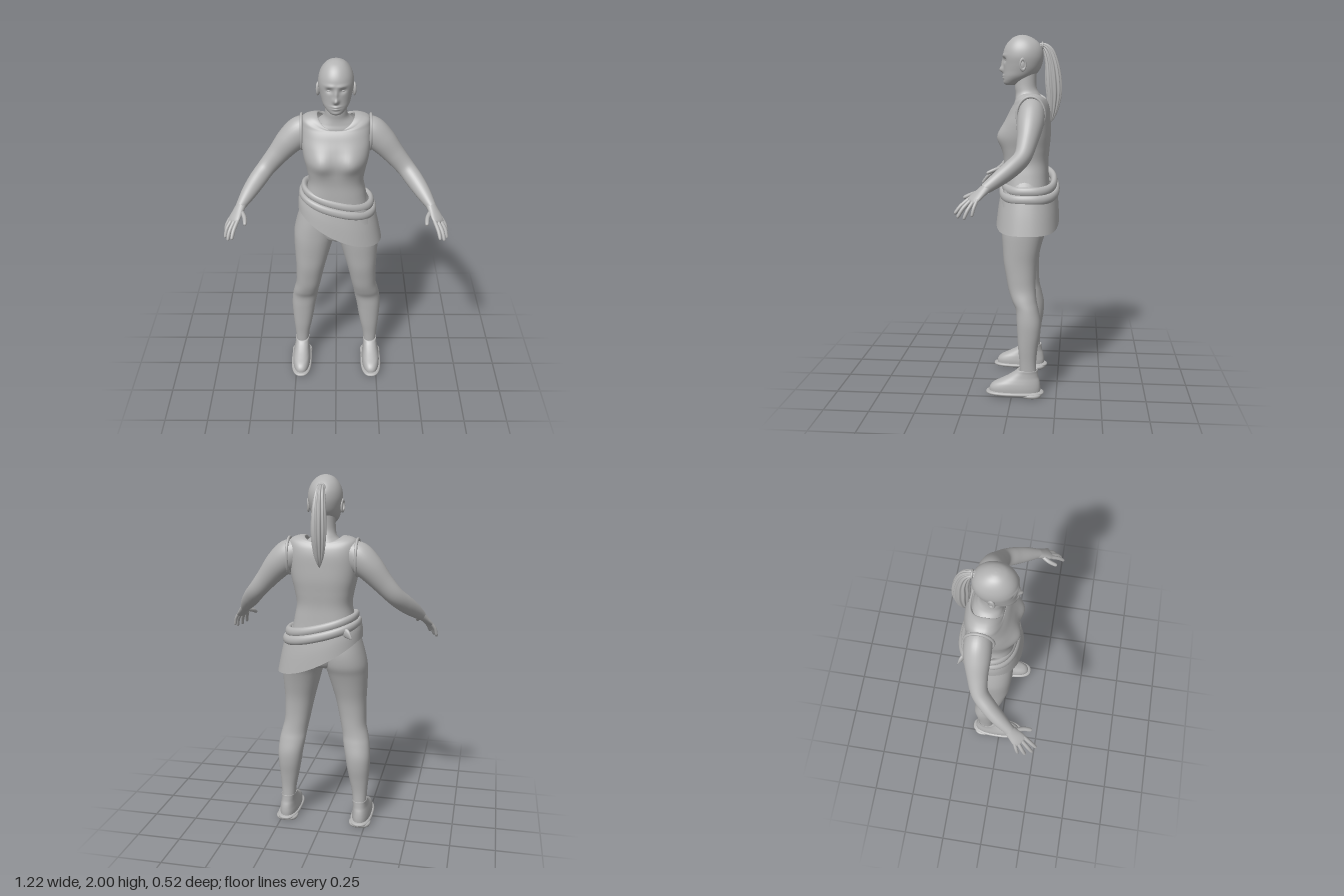
import * as THREE from 'three';
import { mergeVertices } from 'three/addons/utils/BufferGeometryUtils.js';

const grey = new THREE.MeshStandardMaterial({ color: 0xb3b3b3, side: THREE.DoubleSide });
grey.name = 'plain grey';

const TAU = Math.PI * 2;
const bump = (dx, sx, dy, sy) => Math.exp(-((dx / sx) ** 2) - (dy / sy) ** 2);
const clamp01 = t => Math.min(1, Math.max(0, t));
const power = (c, n) => Math.sign(c) * Math.abs(c) ** (2 / n);

// Smooth surface from a rule fn(u, v) -> Vector3, with its seams welded
function surface(nu, nv, fn) {
  let g = new THREE.PlaneGeometry(1, 1, nu, nv);
  const { position, uv } = g.attributes;
  for (let i = 0; i < position.count; i++) {
    const p = fn(uv.getX(i), uv.getY(i));
    position.setXYZ(i, p.x, p.y, p.z);
  }
  g.deleteAttribute('uv');
  g.deleteAttribute('normal');
  g = mergeVertices(g, 1e-5);
  g.computeVertexNormals();
  return g;
}

// Catmull-Rom through rows of numbers
function sample(rows, t) {
  const n = rows.length - 1;
  const i = Math.min(n - 1, Math.floor(t * n));
  const f = t * n - i;
  const at = k => rows[Math.min(n, Math.max(0, k))];
  return rows[0].map((_, c) => {
    const [a, b, d, e] = [at(i - 1)[c], at(i)[c], at(i + 1)[c], at(i + 2)[c]];
    return b + 0.5 * f * (d - a + f * (2 * a - 5 * b + 4 * d - e + f * (3 * (b - d) + e - a)));
  });
}

// Horizontal rings, lowest first: [y, xMin, xMax, zFront, zBack]
function stack(rows, { nu = 40, nv = 40, n = 2.2, shape } = {}) {
  return surface(nu, nv, (u, v) => {
    const [y, x0, x1, zf, zb] = sample(rows, v);
    const a = u * TAU;
    const p = new THREE.Vector3(
      (x0 + x1) / 2 + (x1 - x0) / 2 * power(Math.sin(a), n), y,
      (zf + zb) / 2 + (zf - zb) / 2 * power(Math.cos(a), n));
    if (shape) shape(p, a);
    return p;
  });
}
const even = rows => rows.map(([y, w, zf, zb]) => [y, -w, w, zf, zb]);

// Oval rings along a path: [x, y, z, radius along hint, radius across]
function limb(rows, hint, { nu = 20, nv = 30, groove = 0 } = {}) {
  return surface(nu, nv, (u, v) => {
    const at = t => new THREE.Vector3(...sample(rows, clamp01(t)).slice(0, 3));
    const [x, y, z, a, b] = sample(rows, v);
    const dir = at(v + 0.01).sub(at(v - 0.01)).normalize();
    const side = hint.clone().addScaledVector(dir, -hint.dot(dir)).normalize();
    const across = dir.clone().cross(side);
    const k = 1 + groove * Math.cos(u * TAU * 11 + v * 4);
    return new THREE.Vector3(x, y, z)
      .addScaledVector(side, Math.max(0, a) * k * Math.cos(u * TAU))
      .addScaledVector(across, Math.max(0, b) * k * Math.sin(u * TAU));
  });
}

export function createModel() {
  const model = new THREE.Group();
  const add = (name, geometry, parent = model) => {
    const m = new THREE.Mesh(geometry, grey);
    m.name = name;
    parent.add(m);
    return m;
  };

  // Head with sculpted face
  add('head', stack(even([
    [1.728, 0, 0.035, 0.02], [1.732, 0.03, 0.052, -0.015], [1.75, 0.052, 0.061, -0.06],
    [1.775, 0.07, 0.062, -0.1], [1.805, 0.08, 0.062, -0.132], [1.84, 0.088, 0.063, -0.149],
    [1.88, 0.093, 0.066, -0.157], [1.92, 0.088, 0.06, -0.153], [1.955, 0.073, 0.042, -0.134],
    [1.982, 0.05, 0.015, -0.1], [1.996, 0.024, -0.015, -0.066], [2, 0, -0.04, -0.04]]), {
    nu: 96, nv: 90, n: 2.1, shape(p, a) {
      if (Math.cos(a) < 0.2) return;
      const x = Math.abs(p.x), y = p.y;
      p.z += 0.022 * bump(x, 0.014, y - 1.812, 0.016) + 0.013 * bump(x, 0.01, y - 1.842, 0.026)
        - 0.012 * bump(x - 0.035, 0.017, y - 1.864, 0.013) + 0.005 * bump(x - 0.03, 0.03, y - 1.889, 0.009)
        + 0.009 * bump(x, 0.022, y - 1.78, 0.006) + 0.009 * bump(x, 0.02, y - 1.767, 0.006)
        + 0.004 * bump(x, 0.025, y - 1.742, 0.01);
    } }));
  add('neck', stack(even([
    [1.58, 0.16, 0, -0.17], [1.62, 0.135, 0.005, -0.165], [1.65, 0.1, -0.002, -0.155],
    [1.68, 0.068, -0.004, -0.138], [1.72, 0.058, 0, -0.12], [1.8, 0.056, 0, -0.12]])));

  // Ponytail and its tie
  add('ponytail', limb([
    [0, 1.93, -0.12, 0.015, 0.015], [0, 1.94, -0.155, 0.018, 0.016], [0, 1.91, -0.185, 0.026, 0.028],
    [0, 1.84, -0.205, 0.034, 0.036], [0, 1.76, -0.213, 0.038, 0.043], [0, 1.68, -0.217, 0.036, 0.04],
    [0, 1.6, -0.212, 0.026, 0.028], [0, 1.55, -0.205, 0.012, 0.014], [0, 1.525, -0.2, 0, 0]],
  new THREE.Vector3(1, 0, 0), { nu: 88, nv: 50, groove: 0.1 }));
  const tie = add('hairTie', new THREE.TorusGeometry(0.017, 0.006, 10, 24));
  tie.position.set(0, 1.94, -0.152);

  // Sleeveless shirt, its top ring dipping into the neckline
  add('shirt', stack(even([
    [1.16, 0.18, 0.06, -0.195], [1.24, 0.164, 0.06, -0.19], [1.31, 0.152, 0.06, -0.188],
    [1.38, 0.162, 0.066, -0.194], [1.45, 0.178, 0.07, -0.2], [1.52, 0.187, 0.054, -0.2],
    [1.58, 0.189, 0.03, -0.198], [1.63, 0.188, 0.012, -0.19], [1.665, 0.178, 0.005, -0.18],
    [1.682, 0.14, 0.003, -0.174], [1.684, 0.104, 0, -0.168], [1.672, 0.1, -0.004, -0.16]]), {
    nu: 72, nv: 80, n: 2.7, shape(p, a) {
      const c = Math.cos(a);
      if (c > 0) p.z += 0.03 * c * bump(Math.abs(p.x) - 0.085, 0.065, p.y - 1.45, 0.065);
      const k = clamp01((p.y - 1.57) / 0.11);
      p.y -= k * k * (c > 0 ? 0.06 : 0.03) * c * c;
    } }));

  // Pelvis joining the legs
  add('hips', stack(even([
    [0.935, 0, -0.03, -0.06], [0.945, 0.04, 0.025, -0.11], [0.97, 0.12, 0.052, -0.165],
    [1.05, 0.2, 0.064, -0.195], [1.13, 0.2, 0.064, -0.2], [1.22, 0.165, 0.06, -0.19]])));

  // Slanted wrap skirt with two rolled bands at the waist
  const hem = x => 0.925 + 0.205 * clamp01((0.26 - x) / 0.47) ** 1.8;
  const waist = x => 1.135 + 0.1 * clamp01((0.21 - x) / 0.41) ** 1.4;
  add('wrapSkirt', stack([
    [0, -0.215, 0.262, 0.1, -0.252], [0.5, -0.212, 0.24, 0.088, -0.245], [1, -0.2, 0.215, 0.07, -0.232]], {
    nu: 72, nv: 16, n: 2.35,
    shape(p) { p.y = THREE.MathUtils.lerp(hem(p.x), waist(p.x), p.y); }
  }));
  for (const [name, dy, grow] of [['upperWaistRoll', 0.022, 0], ['lowerWaistRoll', -0.02, 0.014]]) {
    add(name, surface(72, 16, (u, v) => {
      const a = u * TAU, out = grow + 0.018 * Math.cos(v * TAU);
      const x = 0.01 + (0.187 + out) * power(Math.sin(a), 2.35);
      return new THREE.Vector3(x, waist(x) + dy + 0.026 * Math.sin(v * TAU),
        -0.084 + (0.138 + out) * power(Math.cos(a), 2.35));
    }));
  }
  add('skirtCorner', limb([
    [-0.13, 1.19, -0.2, 0.02, 0.012], [-0.155, 1.175, -0.215, 0.025, 0.012], [-0.185, 1.15, -0.235, 0, 0]],
  new THREE.Vector3(0, 1, 0), { nu: 12, nv: 8 }));

  for (const s of [1, -1]) {
    const side = new THREE.Group();
    side.name = s > 0 ? 'leftSide' : 'rightSide';
    model.add(side);
    const flip = rows => rows.map(([y, a, b, ...z]) => s > 0 ? [y, a, b, ...z] : [y, -b, -a, ...z]);
    const across = rows => rows.map(([x, ...r]) => [s * x, ...r]);

    // Ear and closed eye
    const ear = add('ear', new THREE.TorusGeometry(0.02, 0.007, 10, 24), side);
    ear.scale.set(0.75, 1.4, 1);
    ear.position.set(s * 0.094, 1.838, -0.05);
    ear.rotation.y = s * (Math.PI / 2 + 0.3);
    const lobe = add('innerEar', new THREE.SphereGeometry(0.02, 16, 12), side);
    lobe.scale.set(0.35, 1.35, 0.75);
    lobe.position.set(s * 0.089, 1.838, -0.048);
    const eye = add('eye', new THREE.SphereGeometry(0.013, 16, 12), side);
    eye.scale.set(1.15, 0.7, 1);
    eye.position.set(s * 0.035, 1.863, 0.037);

    // Trouser leg
    add('leg', stack(flip([
      [0.11, 0.176, 0.251, -0.047, -0.14], [0.2, 0.168, 0.255, -0.043, -0.137],
      [0.28, 0.152, 0.262, -0.035, -0.145], [0.36, 0.137, 0.268, -0.03, -0.158],
      [0.43, 0.126, 0.27, -0.026, -0.16], [0.5, 0.113, 0.263, -0.02, -0.146],
      [0.55, 0.106, 0.253, 0.002, -0.135], [0.61, 0.094, 0.239, 0.022, -0.13],
      [0.68, 0.08, 0.236, 0.036, -0.13], [0.76, 0.062, 0.236, 0.05, -0.137],
      [0.84, 0.04, 0.24, 0.056, -0.155], [0.92, 0.018, 0.243, 0.062, -0.178],
      [0.98, 0.002, 0.241, 0.064, -0.2], [1.06, 0, 0.222, 0.064, -0.205],
      [1.16, 0.01, 0.19, 0.058, -0.19]]), { nv: 70 }), side);

    // Shoe upper, sole and heel
    add('shoe', stack(flip([
      [0.02, 0.165, 0.271, 0.125, -0.16], [0.05, 0.164, 0.272, 0.125, -0.162],
      [0.075, 0.167, 0.269, 0.105, -0.16], [0.095, 0.17, 0.264, 0.065, -0.156],
      [0.115, 0.172, 0.259, 0.025, -0.15], [0.138, 0.172, 0.256, -0.012, -0.147],
      [0.155, 0.171, 0.256, -0.033, -0.145], [0.15, 0.178, 0.248, -0.045, -0.138]]), { n: 2.4 }), side);
    const slab = (name, y0, y1, zf, zb) => add(name, stack(flip([
      [y0, 0.218, 0.218, (zf + zb) / 2, (zf + zb) / 2], [y0, 0.164, 0.273, zf - 0.005, zb + 0.003],
      [y1, 0.16, 0.277, zf, zb], [y1, 0.218, 0.218, (zf + zb) / 2, (zf + zb) / 2]]), { nv: 12, n: 2.6 }), side);
    slab('sole', 0.012, 0.032, 0.131, -0.165);
    slab('heel', 0.002, 0.025, -0.055, -0.165);

    // Arm and the shirt's armhole edge
    add('arm', limb(across([
      [0.12, 1.605, -0.105, 0.055, 0.06], [0.185, 1.577, -0.104, 0.071, 0.083],
      [0.25, 1.522, -0.1, 0.07, 0.076], [0.32, 1.442, -0.09, 0.055, 0.06],
      [0.385, 1.368, -0.07, 0.045, 0.051], [0.435, 1.315, -0.018, 0.043, 0.049],
      [0.48, 1.267, 0.045, 0.038, 0.041], [0.52, 1.222, 0.108, 0.028, 0.026]]),
    new THREE.Vector3(0, 0, 1), { nu: 32, nv: 50 }), side);
    const edge = add('armholeEdge', new THREE.TorusGeometry(0.085, 0.008, 10, 40), side);
    edge.scale.set(0.88, 1.15, 1);
    edge.position.set(s * 0.187, 1.572, -0.1);
    edge.rotation.y = s * Math.PI / 2;

    // Hand
    const spread = new THREE.Vector3(s * 0.62, 0, -0.78);
    add('palm', limb(across([
      [0.51, 1.234, 0.092, 0.028, 0.026], [0.53, 1.205, 0.126, 0.034, 0.02],
      [0.549, 1.177, 0.158, 0.04, 0.015], [0.557, 1.163, 0.172, 0.034, 0.011],
      [0.56, 1.157, 0.178, 0, 0]]), spread), side);
    const finger = (name, a, b, c, r) => add(name, limb(across([
      [...a, r, r], [...b, r, r], [...c.map((q, i) => b[i] + (q - b[i]) * 0.85), r * 0.8, r * 0.8],
      [...c, 0, 0]]), spread, { nu: 12, nv: 18 }), side);
    finger('thumb', [0.518, 1.208, 0.125], [0.494, 1.192, 0.172], [0.486, 1.17, 0.222], 0.012);
    finger('indexFinger', [0.53, 1.176, 0.182], [0.549, 1.14, 0.225], [0.56, 1.1, 0.257], 0.0105);
    finger('middleFinger', [0.546, 1.174, 0.17], [0.572, 1.13, 0.212], [0.584, 1.084, 0.24], 0.0105);
    finger('ringFinger', [0.561, 1.172, 0.155], [0.59, 1.128, 0.184], [0.602, 1.08, 0.205], 0.01);
    finger('littleFinger', [0.571, 1.175, 0.14], [0.594, 1.138, 0.154], [0.604, 1.095, 0.164], 0.009);
  }
  return model;
}
